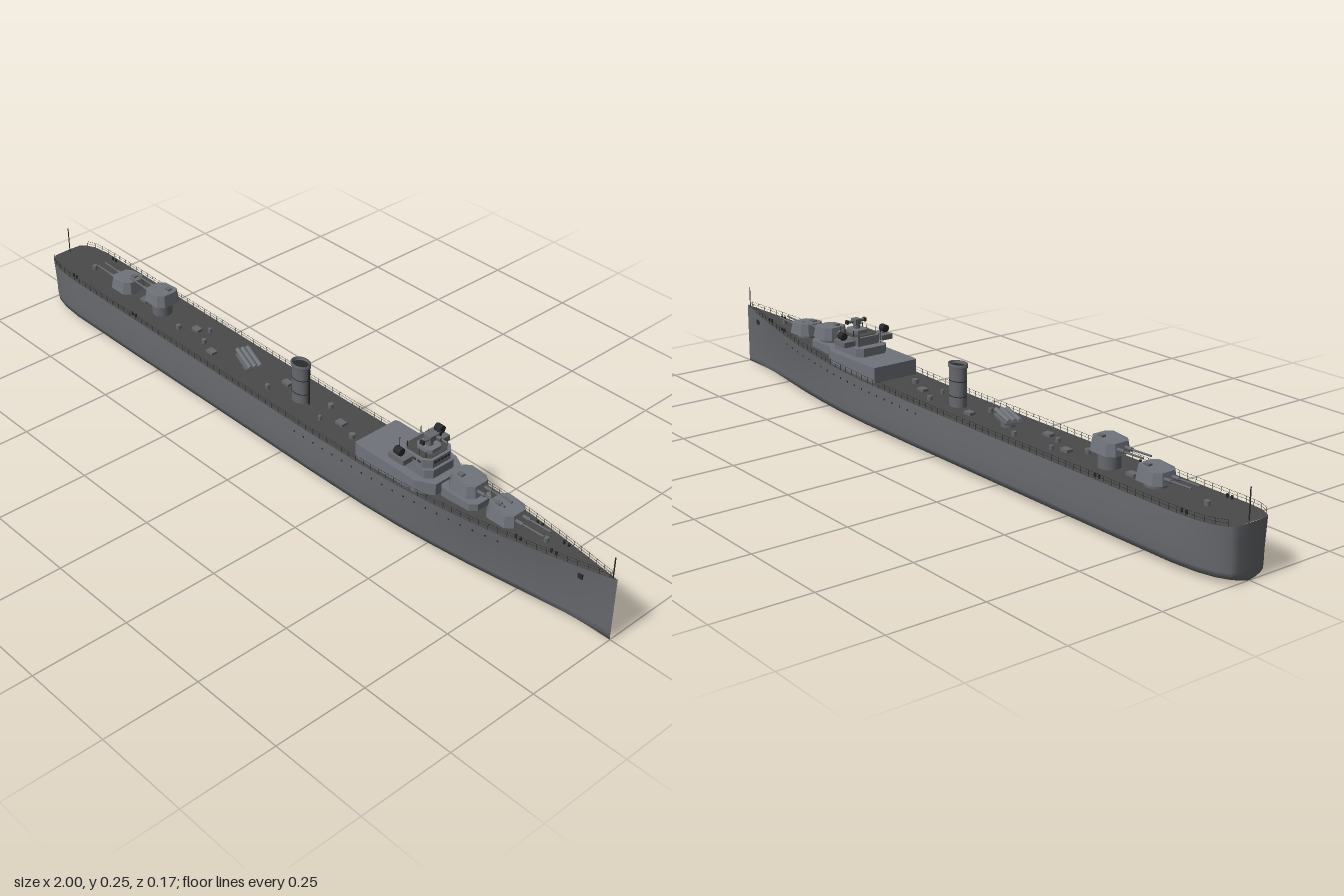
import * as THREE from 'three';
import { mergeGeometries } from 'three/addons/utils/BufferGeometryUtils.js';

const paint = (name, color) => new THREE.MeshStandardMaterial({ name, color });

// Stations along the hull: x, half width at the waterline, half width at the deck, deck height
const STATIONS = [
  [-1, 0.035, 0.04, 0.131], [-0.992, 0.05, 0.055, 0.13], [-0.965, 0.065, 0.07, 0.129], [-0.92, 0.077, 0.078, 0.127],
  [-0.85, 0.084, 0.081, 0.125], [-0.6, 0.085, 0.081, 0.124], [-0.2, 0.085, 0.081, 0.122], [0.1, 0.085, 0.081, 0.122],
  [0.3, 0.083, 0.081, 0.126], [0.42, 0.077, 0.079, 0.131], [0.52, 0.068, 0.074, 0.136], [0.62, 0.056, 0.066, 0.142],
  [0.72, 0.041, 0.053, 0.149], [0.82, 0.026, 0.037, 0.155], [0.91, 0.012, 0.02, 0.161], [1, 0.001, 0.001, 0.168],
];
function station(x) {
  let i = 1;
  while (i < STATIONS.length - 1 && STATIONS[i][0] < x) i++;
  const a = STATIONS[i - 1], b = STATIONS[i], t = (x - a[0]) / (b[0] - a[0]);
  return a.map((v, k) => v + (b[k] - v) * t);
}
const deckY = x => station(x)[3];

// Skins a row of equal-length cross-sections
function loft(rows) {
  const n = rows[0].length, index = [];
  for (let i = 0; i < rows.length - 1; i++) for (let j = 0; j < n - 1; j++) {
    const a = i * n + j, b = a + n;
    index.push(a, a + 1, b, b, a + 1, b + 1);
  }
  const g = new THREE.BufferGeometry();
  g.setAttribute('position', new THREE.Float32BufferAttribute(rows.flat(2), 3));
  g.setIndex(index);
  g.computeVertexNormals();
  return g;
}
function hullSection([x, w, d, y]) {
  const half = [[d, y], [(w + d) / 2, y * 0.72], [w, 0.055], [w * 0.995, 0.025], [w * 0.97, 0.011], [w * 0.6, 0.005]];
  return [...half.map(p => [x, p[1], p[0]]), [x, 0, 0], ...half.reverse().map(p => [x, p[1], -p[0]])];
}
// Vertical prism from a plan outline of (x, z) points
function prism(points, y0, y1) {
  const shape = new THREE.Shape(points.map(p => new THREE.Vector2(p[0], p[1])));
  return new THREE.ExtrudeGeometry(shape, { depth: y1 - y0, bevelEnabled: false }).rotateX(-Math.PI / 2).translate(0, y0, 0);
}
// Plan with chamfered corners
const chamfered = (x0, x1, w, c) => [[x0, -w + c], [x0 + c, -w], [x1 - c, -w], [x1, -w + c], [x1, w - c], [x1 - c, w], [x0 + c, w], [x0, w - c]];
// Thin rod between two points
function rod(a, b, r, sides = 4) {
  const p = new THREE.Vector3(...a), q = new THREE.Vector3(...b), d = q.clone().sub(p);
  const g = new THREE.CylinderGeometry(r, r, d.length(), sides);
  g.applyQuaternion(new THREE.Quaternion().setFromUnitVectors(new THREE.Vector3(0, 1, 0), d.normalize()));
  return g.translate(...p.add(q).multiplyScalar(0.5).toArray());
}
const box = (x, y, z, sx, sy, sz) => new THREE.BoxGeometry(sx, sy, sz).translate(x, y, z);
const drum = (x, y, z, r, h, sides = 20) => new THREE.CylinderGeometry(r, r, h, sides).translate(x, y, z);

export function createModel() {
  const ship = new THREE.Group();
  ship.name = 'warship';
  const hullGrey = paint('hull grey', 0x66686c), deckGrey = paint('deck grey', 0x4a4a4a);
  const lightGrey = paint('superstructure grey', 0x70747b), dark = paint('dark fittings', 0x292a2c);
  const add = (name, geometry, material, parent = ship) => {
    const mesh = new THREE.Mesh(geometry, material);
    mesh.name = name;
    parent.add(mesh);
    return mesh;
  };

  // Hull with closed stern, and the deck following its sheer
  const sternCap = hullSection(STATIONS[0]).map(p => [p[0], p[1], 0]);
  add('hull', loft([sternCap, ...STATIONS.map(hullSection)]), hullGrey);
  add('deck', loft(STATIONS.map(([x, , d, y]) => [[x, y, -d], [x, y + 0.001, 0], [x, y, d]]).map(r => r.reverse())
    .map(r => r.reverse())).scale(1, 1, 1), deckGrey).material.side = THREE.DoubleSide;

  // Gun turrets: barbette, sloped gunhouse, twin barrels; dir points the guns fore or aft
  function turret(name, x, base, dir) {
    const g = new THREE.Group();
    g.name = name;
    const y0 = deckY(x);
    const house = prism(chamfered(-0.042, 0.042, 0.038, 0.016), 0, 0.033);
    const p = house.attributes.position;
    for (let i = 0; i < p.count; i++) if (p.getY(i) > 0.02) {
      p.setX(i, p.getX(i) * 0.88);
      p.setZ(i, p.getZ(i) * 0.86);
      if (p.getX(i) > 0) p.setY(i, 0.029);
    }
    house.computeVertexNormals();
    add('gunhouse', house, lightGrey, g);
    add('barbette', drum(0, (y0 - base) / 2, 0, 0.027, base - y0 + 0.004), hullGrey, g);
    add('turret hatch', box(-0.015, 0.034, 0.012, 0.015, 0.005, 0.012), hullGrey, g);
    for (const z of [-0.012, 0.012]) {
      add('gun sleeve', rod([0.034, 0.015, z], [0.06, 0.016, z], 0.0045, 10), hullGrey, g);
      add('gun barrel', rod([0.04, 0.015, z], [0.12, 0.018, z], 0.0026, 8), hullGrey, g);
    }
    g.position.set(x, base, 0);
    if (dir < 0) g.rotation.y = Math.PI;
    ship.add(g);
  }
  turret('aft lower turret', -0.715, 0.138, -1);
  turret('aft upper turret', -0.565, 0.163, -1);
  turret('forward upper turret', 0.565, 0.172, 1);
  turret('forward lower turret', 0.682, 0.157, 1);

  // Deckhouse, bridge and gun platform
  add('deckhouse', prism([[0.26, -0.066], [0.27, -0.07], [0.46, -0.07], [0.505, -0.045], [0.505, 0.045], [0.46, 0.07], [0.27, 0.07], [0.26, 0.066]], 0.12, 0.167), lightGrey);
  add('forward turret platform', prism(chamfered(0.5, 0.615, 0.036, 0.015), 0.13, 0.16), lightGrey);
  add('bridge lower', prism(chamfered(0.355, 0.485, 0.048, 0.015), 0.165, 0.19), lightGrey);
  add('bridge upper', prism(chamfered(0.38, 0.478, 0.047, 0.018), 0.19, 0.213), lightGrey);
  add('bridge floor', prism(chamfered(0.388, 0.47, 0.04, 0.014), 0.213, 0.2145), deckGrey);
  add('bridge roof block', prism(chamfered(0.41, 0.46, 0.022, 0.008), 0.213, 0.224), lightGrey);
  for (let i = -2; i <= 2; i++) add('bridge window', box(0.4785, 0.205, i * 0.011, 0.001, 0.005, 0.008), dark);
  for (const s of [-1, 1]) {
    for (let i = 0; i < 4; i++) add('side window', box(0.408 + i * 0.014, 0.205, s * 0.0472, 0.009, 0.005, 0.001), dark);
    // Bridge wings with a light gun mount on each
    add('bridge wing', box(0.405, 0.201, s * 0.06, 0.05, 0.014, 0.034), hullGrey);
    add('wing pedestal', drum(0.405, 0.21, s * 0.067, 0.004, 0.012, 10), dark);
    add('searchlight', new THREE.CylinderGeometry(0.01, 0.01, 0.02, 16).rotateZ(Math.PI / 2).translate(0.405, 0.22, s * 0.067), dark);
    add('bridge fittings', mergeGeometries([0.375, 0.4, 0.44, 0.46].map((x, i) => rod([x, 0.19, s * 0.035], [x, 0.226 + 0.004 * (i % 2), s * 0.035], 0.0012))), dark);
  }
  // Rangefinder director
  add('director pedestal', drum(0.437, 0.229, 0, 0.009, 0.016, 16), hullGrey);
  add('director', box(0.437, 0.243, 0, 0.022, 0.015, 0.018), hullGrey);
  add('rangefinder', rod([0.44, 0.243, -0.028], [0.44, 0.243, 0.028], 0.004, 12), hullGrey);
  for (const s of [-1, 1]) add('rangefinder end', box(0.44, 0.243, s * 0.028, 0.011, 0.01, 0.006), dark);

  // Funnel with a hollow top
  const profile = [[0.026, 0.12], [0.026, 0.222], [0.029, 0.223], [0.029, 0.233], [0.024, 0.233], [0.024, 0.2], [0, 0.2]];
  const funnelShape = new THREE.LatheGeometry(profile.map(p => new THREE.Vector2(...p)), 24).scale(1, 1, 0.75);
  add('funnel', funnelShape.translate(-0.007, 0, 0), hullGrey);
  add('funnel mouth', drum(0, 0, 0, 0.024, 0.002, 24).scale(1, 1, 0.75).translate(-0.007, 0.225, 0), dark);
  for (const y of [0.15, 0.19]) add('funnel band', drum(0, 0, 0, 0.0268, 0.002, 24).scale(1, 1, 0.75).translate(-0.007, y, 0), dark);
  add('steam pipe', rod([0.023, 0.12, 0], [0.023, 0.225, 0], 0.003, 8), dark);

  // Swivelled torpedo mount
  const torpedo = new THREE.Group();
  torpedo.name = 'torpedo mount';
  add('mount base', drum(0, 0.128, 0, 0.018, 0.02), hullGrey, torpedo);
  add('mount platform', box(0, 0.141, 0, 0.08, 0.006, 0.046), hullGrey, torpedo);
  for (let i = -1; i <= 1; i++) add('torpedo tube', rod([-0.048, 0.15, i * 0.014], [0.048, 0.15, i * 0.014], 0.006, 12), lightGrey, torpedo);
  torpedo.position.x = -0.205;
  torpedo.rotation.y = -0.35;
  ship.add(torpedo);

  // Hatches, winches, vents and bollards on the deck
  for (const [x, z, r] of [[-0.47, 0.02, 0.007], [-0.4, -0.03, 0.005], [-0.37, 0.015, 0.006], [-0.27, -0.035, 0.006], [-0.1, 0.03, 0.006], [0.07, -0.03, 0.007], [0.09, 0.025, 0.005], [0.2, 0.02, 0.008], [-0.87, 0, 0.007], [0.8, 0, 0.006]])
    add('deck vent', drum(x, deckY(x) + 0.006, z, r, 0.012, 12), hullGrey);
  for (const [x, z] of [[-0.64, 0], [-0.43, -0.01], [-0.32, 0.03], [0.14, 0], [-0.08, -0.02]])
    add('deck hatch', box(x, deckY(x) + 0.004, z, 0.025, 0.008, 0.018), hullGrey);
  for (const x of [-0.87, -0.6, 0.75, 0.84]) for (const s of [-1, 1])
    add('bollards', mergeGeometries([-0.007, 0.007].map(d => drum(x + d, deckY(x) + 0.004, s * (station(x)[2] - 0.012), 0.003, 0.01, 8))), dark);

  // Guard rails: stanchions and two wires each side
  for (const s of [-1, 1]) {
    const parts = [], edge = (x, h) => [x, deckY(x) + h, s * Math.max(station(x)[2] - 0.002, 0)];
    for (let i = 0; i <= 78; i++) {
      const x = -0.985 + i * 0.0252;
      parts.push(rod(edge(x, -0.001), edge(x, 0.015), 0.0007));
      if (i < 78) for (const h of [0.008, 0.015]) parts.push(rod(edge(x, h), edge(x + 0.0252, h), 0.0004, 3));
    }
    add('guard rail', mergeGeometries(parts), dark);

    // Portholes lie flat on the flaring side
    for (let i = 0; i < 20; i++) {
      const x = 0.06 + i * 0.034, [, w, d, y] = station(x);
      const h = y - 0.022, z = d + (w - d) * 0.5 * 0.022 / (y * 0.28);
      add('porthole', rod([x, h, s * (z - 0.002)], [x, h, s * (z + 0.001)], 0.0025, 10), dark);
    }
    const [, w, d, y] = station(0.915);
    add('anchor', box(0.915, y - 0.024, s * ((w + d * 2) / 3 + 0.001), 0.012, 0.013, 0.005), dark);
  }

  // Flagstaffs at stern and bow
  add('ensign staff', rod([-0.99, 0.125, 0], [-0.99, 0.205, 0], 0.0015, 6), dark);
  add('jackstaff', rod([0.987, 0.16, 0], [0.987, 0.223, 0], 0.0015, 6), dark);
  return ship;
}
